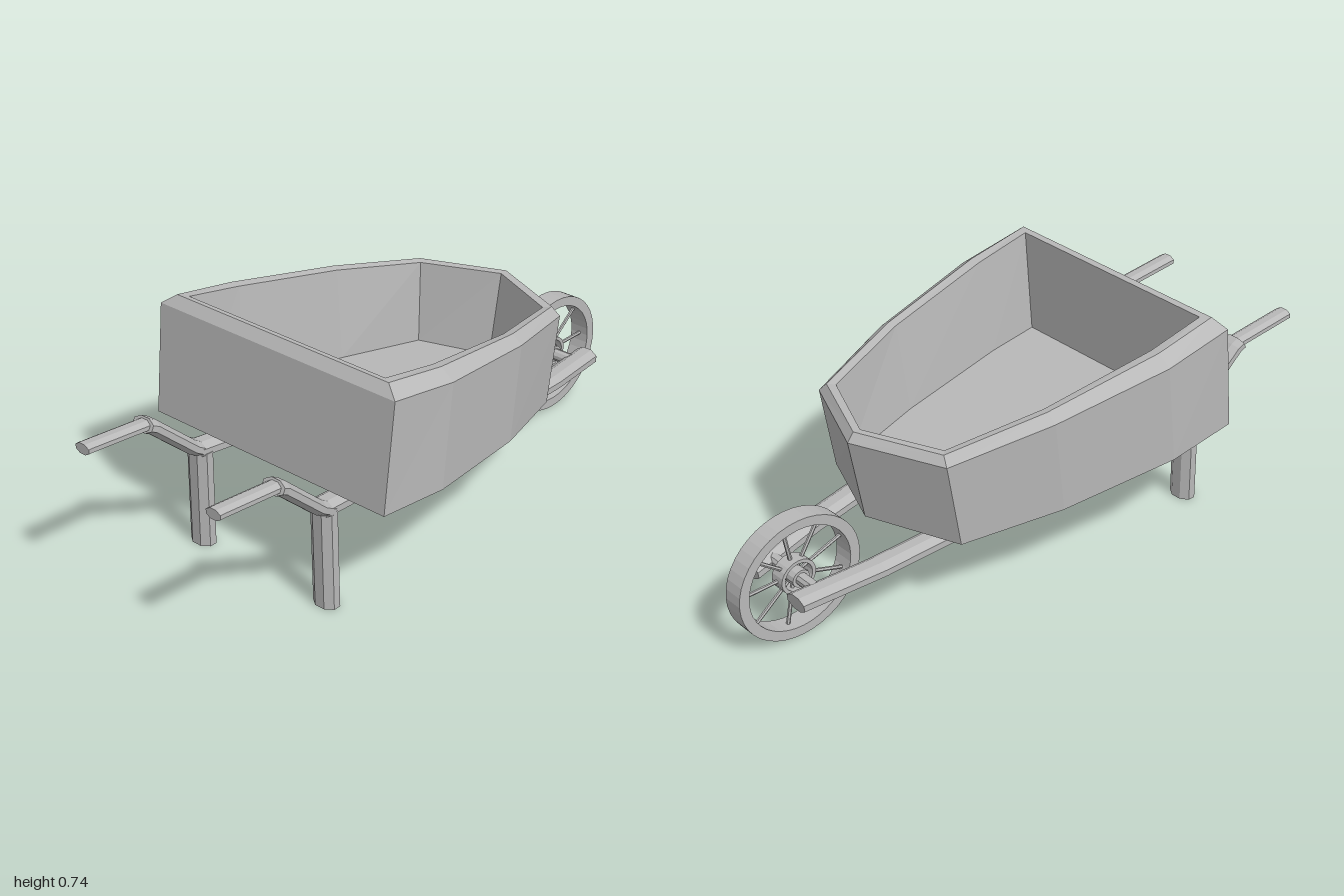
import * as THREE from 'three';

const grey = new THREE.MeshStandardMaterial({ color: 0xb8b8b8, flatShading: true });
grey.name = 'grey';

function add(parent, name, geometry) {
  const mesh = new THREE.Mesh(geometry, grey);
  mesh.name = name;
  parent.add(mesh);
  return mesh;
}

// Skin a list of closed rings (counterclockwise about the path) and cap both ends
function loft(rings) {
  const n = rings[0].length, pos = [], idx = [];
  rings.forEach(r => r.forEach(p => pos.push(...p)));
  for (let i = 0; i < rings.length - 1; i++) {
    for (let k = 0; k < n; k++) {
      const a = i * n + k, b = i * n + (k + 1) % n;
      idx.push(a, b, b + n, a, b + n, a + n);
    }
  }
  [0, rings.length - 1].forEach((ri, end) => {
    const c = pos.length / 3;
    for (let j = 0; j < 3; j++) pos.push(rings[ri].reduce((s, p) => s + p[j], 0) / n);
    for (let k = 0; k < n; k++) {
      const a = ri * n + k, b = ri * n + (k + 1) % n;
      idx.push(c, ...(end ? [a, b] : [b, a]));
    }
  });
  const g = new THREE.BufferGeometry();
  g.setAttribute('position', new THREE.Float32BufferAttribute(pos, 3));
  g.setIndex(idx);
  const flat = g.toNonIndexed();
  flat.computeVertexNormals();
  return flat;
}

// Octagonal bar along points [x, y, z]; w is its width in z, h its thickness
function bar(points, w, h) {
  const last = points.length - 1;
  return loft(points.map(([x, y, z], i) => {
    const a = points[Math.max(0, i - 1)], b = points[Math.min(last, i + 1)];
    const len = Math.hypot(b[0] - a[0], b[1] - a[1]);
    const ux = -(b[1] - a[1]) / len, uy = (b[0] - a[0]) / len;
    return Array.from({ length: 8 }, (_, k) => {
      const t = (k + 0.5) * Math.PI / 4;
      const u = Math.cos(t) * h * 0.54, s = Math.sin(t) * w * 0.54;
      return [x + ux * u, y + uy * u, z + s];
    });
  }));
}

// Half outline, back to nose, mirrored into a closed ring
function trayRing(half) {
  return [...half, ...half.slice(0, -1).reverse().map(([x, y, z]) => [x, y, -z])];
}

function createTray() {
  return loft([
    // underside
    [[-0.545, 0.36, 0.45], [-0.3, 0.337, 0.455], [0.09, 0.3, 0.39], [0.4, 0.268, 0.29], [0.52, 0.275, 0]],
    // outer wall below the bevel
    [[-0.505, 0.705, 0.455], [-0.26, 0.665, 0.455], [0.13, 0.605, 0.39], [0.45, 0.548, 0.29], [0.572, 0.548, 0]],
    // top of the rim
    [[-0.48, 0.737, 0.41], [-0.26, 0.698, 0.41], [0.13, 0.631, 0.355], [0.44, 0.576, 0.265], [0.55, 0.576, 0]],
    // inner lip
    [[-0.46, 0.733, 0.38], [-0.26, 0.694, 0.378], [0.12, 0.627, 0.33], [0.42, 0.574, 0.245], [0.525, 0.574, 0]],
    // inside floor
    [[-0.465, 0.4, 0.35], [-0.29, 0.38, 0.345], [0.1, 0.34, 0.295], [0.395, 0.31, 0.23], [0.475, 0.305, 0]],
  ].map(trayRing));
}

// Open ring with a rectangular section, its axis along z
function hoop(ro, ri, half, segments) {
  const p = [[ro, -half], [ro, half], [ri, half], [ri, -half], [ro, -half]];
  return new THREE.LatheGeometry(p.map(v => new THREE.Vector2(...v)), segments).rotateX(Math.PI / 2);
}

function createWheel() {
  const wheel = new THREE.Group();
  wheel.name = 'wheel';
  add(wheel, 'rim', hoop(0.197, 0.166, 0.033, 40));
  add(wheel, 'hubRing', hoop(0.056, 0.045, 0.024, 20));
  const spokes = 9;
  for (let i = 0; i < spokes; i++) {
    const g = new THREE.CylinderGeometry(0.006, 0.006, 0.155, 6);
    g.translate(0, 0.0975, 0).rotateZ(i * Math.PI * 2 / spokes - Math.PI / 2);
    add(wheel, 'spoke', g);
  }
  add(wheel, 'hub', new THREE.CylinderGeometry(0.028, 0.028, 0.07, 12).rotateX(Math.PI / 2));
  wheel.scale.x = 1.09;
  wheel.position.set(0.784, 0.197, 0);
  return wheel;
}

export function createModel() {
  const model = new THREE.Group();
  model.name = 'wheelbarrow';
  add(model, 'tray', createTray());

  // Frame: one beam, neck, grip and leg on each side
  for (const s of [1, -1]) {
    const frame = new THREE.Group();
    frame.name = s > 0 ? 'leftFrame' : 'rightFrame';
    model.add(frame);
    add(frame, 'beam', bar([[-0.59, 0.327, s * 0.25], [0.1, 0.262, s * 0.21],
      [0.6, 0.213, s * 0.155], [0.86, 0.188, s * 0.108]], 0.08, 0.05));
    add(frame, 'neck', bar([[-0.565, 0.318, s * 0.25], [-0.61, 0.345, s * 0.252],
      [-0.755, 0.475, s * 0.255], [-0.775, 0.485, s * 0.257]], 0.08, 0.045));
    add(frame, 'grip', bar([[-0.76, 0.482, s * 0.257], [-0.99, 0.503, s * 0.257],
      [-1, 0.503, s * 0.257]], 0.055, 0.033));
    add(frame, 'leg', bar([[-0.57, 0, s * 0.252], [-0.57, 0.32, s * 0.248]], 0.083, 0.06));
  }

  const axle = add(model, 'axle', new THREE.CylinderGeometry(0.02, 0.02, 0.21, 10).rotateX(Math.PI / 2));
  axle.position.set(0.784, 0.197, 0);
  model.add(createWheel());
  return model;
}
